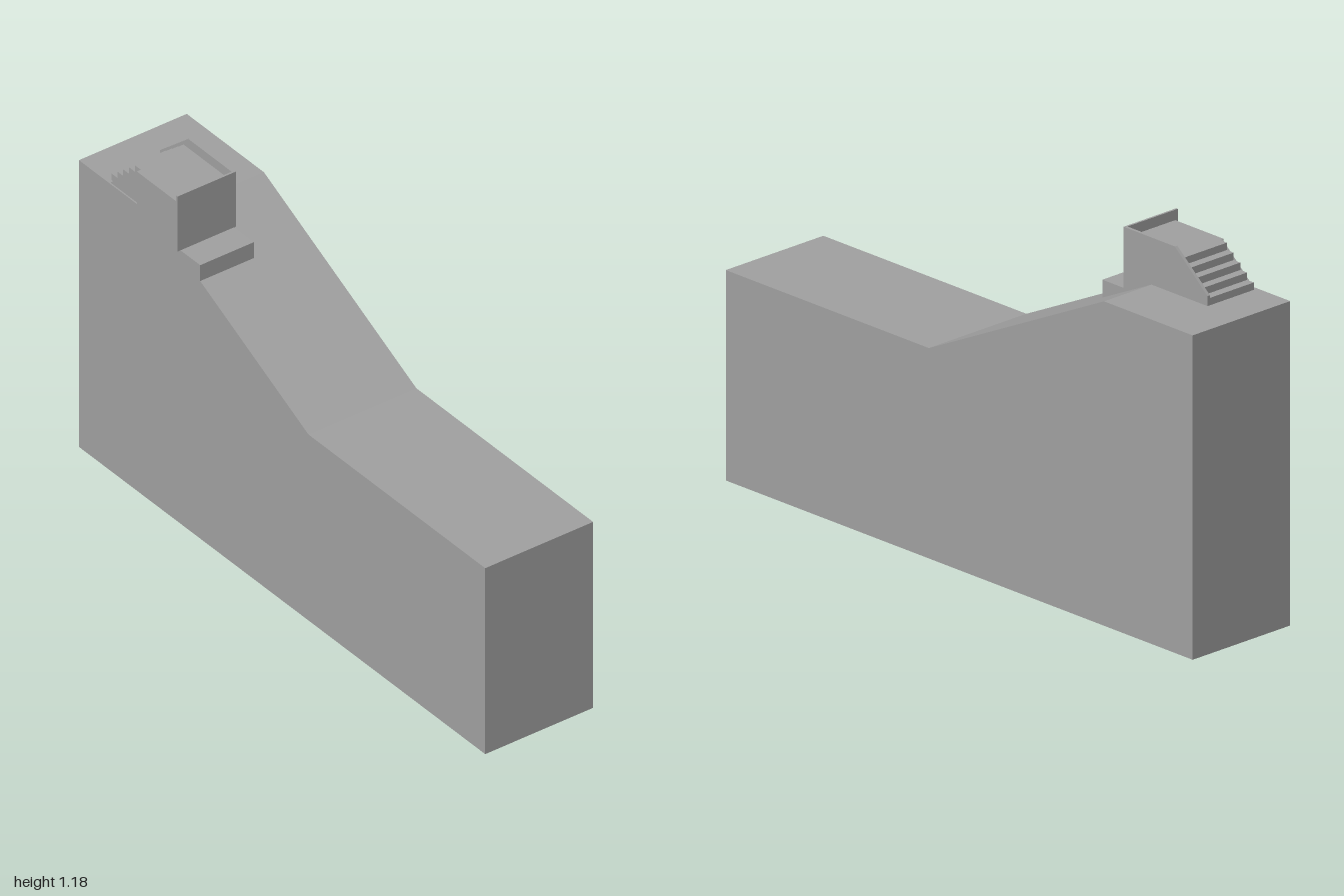
import * as THREE from 'three';

export function createModel() {
  const group = new THREE.Group();
  const grey = new THREE.MeshStandardMaterial({ color: 0xa0a0a0 });
  grey.name = 'plain grey';

  const add = (name, geometry) => {
    const mesh = new THREE.Mesh(geometry, grey);
    mesh.name = name;
    group.add(mesh);
    return mesh;
  };
  // side profile in x and y, carried from z0 to z1
  const slab = (name, points, z0, z1) => {
    const shape = new THREE.Shape(points.map(([x, y]) => new THREE.Vector2(x, y)));
    const geometry = new THREE.ExtrudeGeometry(shape, { depth: z1 - z0, bevelEnabled: false });
    return add(name, geometry.translate(0, 0, z0));
  };
  const box = (name, x0, x1, y0, y1, z0, z1) =>
    add(name, new THREE.BoxGeometry(x1 - x0, y1 - y0, z1 - z0)
      .translate((x0 + x1) / 2, (y0 + y1) / 2, (z0 + z1) / 2));

  const back = -0.205, front = 0.195;

  // ground block with high plateau, slope and low plain
  slab('hillside', [
    [-1, 0], [1, 0], [1, 0.67], [0.13, 0.67], [-0.62, 1.033], [-1, 1.033],
  ], back, front);

  // raised deck
  box('deck', -0.715, -0.505, 0.975, 1.15, 0, front);

  // stair flight: sloped support at the front edge, five steps behind it
  slab('stairSupport', [
    [-0.855, 1.03], [-0.715, 1.03], [-0.715, 1.15],
  ], 0, 0.19);
  const steps = 5, x0 = -0.86, run = 0.145 / steps, rise = 0.117 / steps;
  for (let i = 0; i < steps; i++) {
    box('step', x0 + i * run, x0 + steps * run,
      1.033 + i * rise, 1.033 + (i + 1) * rise, 0, 0.18);
  }

  // rear parapet following the stairs
  slab('rearParapet', [
    [-0.86, 1.03], [-0.62, 1.03], [-0.503, 0.976], [-0.503, 1.183], [-0.72, 1.183], [-0.86, 1.065],
  ], -0.01, 0);

  // end wall and the landing below it
  box('endWall', -0.507, -0.5, 0.985, 1.183, -0.01, 0.206);
  box('landing', -0.505, -0.403, 0.925, 0.985, -0.004, front);

  return group;
}
